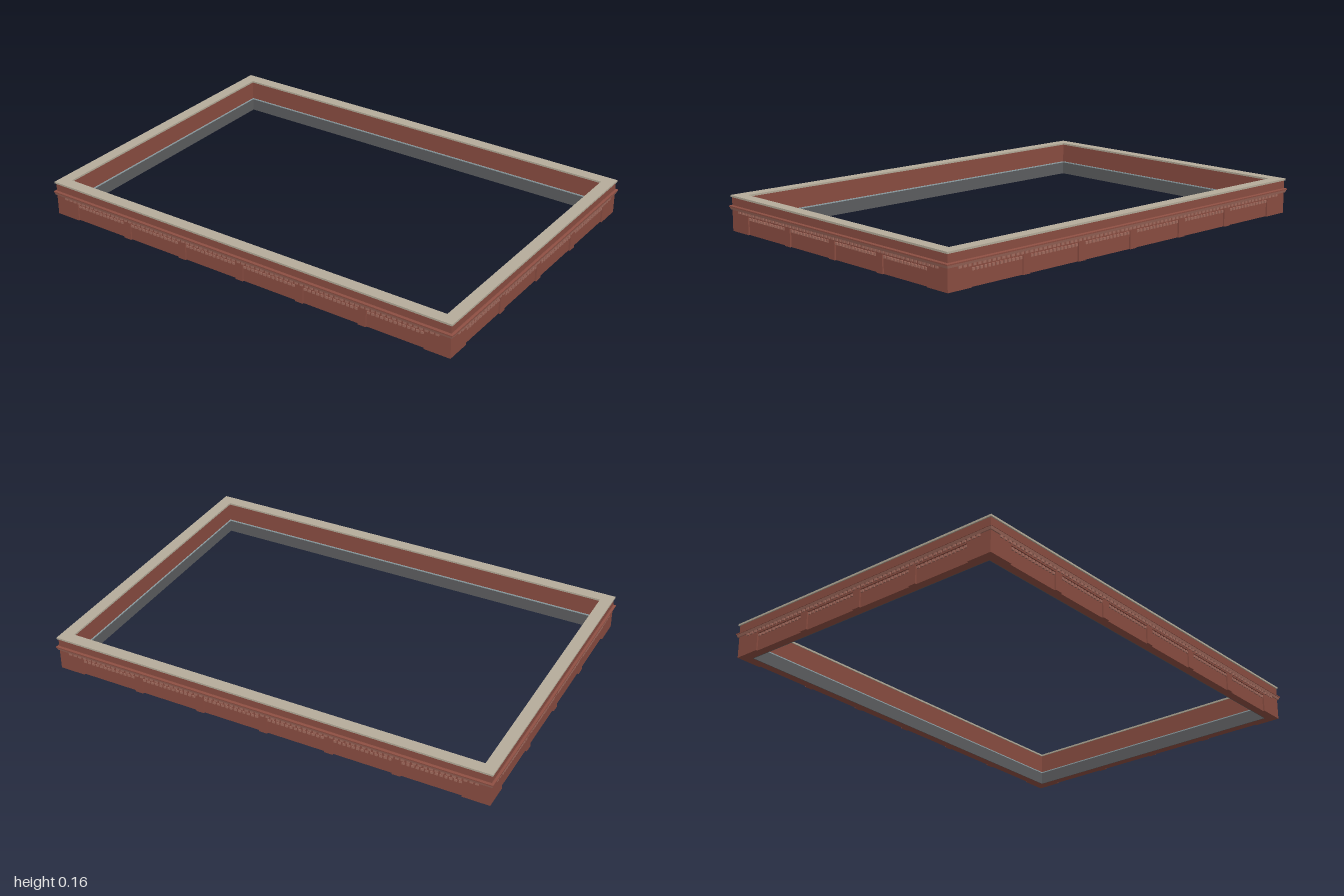
import * as THREE from 'three';
import { mergeGeometries } from 'three/addons/utils/BufferGeometryUtils.js';

const HX = 0.99, HZ = 0.69;   // outer wall half sizes
const RECESS = 0.007;         // depth of the wall panels
const PANEL_TOP = 0.077, PANEL_W = 0.26, PITCH = 0.297;

const paint = (name, color) => {
  const m = new THREE.MeshStandardMaterial({ color });
  m.name = name;
  return m;
};

// Mitred rectangular ring; profile is [offset from wall face, height], counter-clockwise
function ring(profile) {
  const corners = [[1, 1], [1, -1], [-1, -1], [-1, 1]];
  const at = (k, j) => {
    const [sx, sz] = corners[k % 4], [o, y] = profile[j % profile.length];
    return [sx * (HX + o), y, sz * (HZ + o)];
  };
  const pos = [];
  for (let k = 0; k < 4; k++) {
    for (let j = 0; j < profile.length; j++) {
      const a = at(k, j), b = at(k + 1, j), c = at(k + 1, j + 1), d = at(k, j + 1);
      pos.push(...a, ...b, ...c, ...a, ...c, ...d);
    }
  }
  const g = new THREE.BufferGeometry();
  g.setAttribute('position', new THREE.Float32BufferAttribute(pos, 3));
  g.computeVertexNormals();
  return g;
}

const band = (o0, o1, y0, y1) => ring([[o1, y0], [o1, y1], [o0, y1], [o0, y0]]);

// Box given by its limits
function block(x0, x1, y0, y1, z0, z1) {
  return new THREE.BoxGeometry(x1 - x0, y1 - y0, z1 - z0)
    .translate((x0 + x1) / 2, (y0 + y1) / 2, (z0 + z1) / 2);
}

// Evenly spaced teeth along x
function teeth(x0, x1, count, y0, y1, z0, z1) {
  const step = (x1 - x0) / count, out = [];
  for (let i = 0; i < count; i++) {
    const c = x0 + (i + 0.5) * step;
    out.push(block(c - step * 0.29, c + step * 0.29, y0, y1, z0, z1));
  }
  return out;
}

export function createModel() {
  const model = new THREE.Group();
  const brick = paint('brick', 0x8a4d41);
  const paleBrick = paint('pale brick', 0xa26b5e);
  const stone = paint('coping stone', 0xb5ac9a);
  const membrane = paint('roof membrane', 0x5d5e60);
  const metal = paint('flashing metal', 0x93a5aa);

  const add = (parent, name, geometry, material) => {
    const mesh = new THREE.Mesh(geometry, material);
    mesh.name = name;
    parent.add(mesh);
  };

  // Continuous wall, its upper face standing proud of the panels
  add(model, 'wall', ring([
    [-RECESS, 0], [-RECESS, PANEL_TOP], [0, PANEL_TOP],
    [0, 0.148], [-0.044, 0.148], [-0.044, 0],
  ]), brick);

  // Cornice: sloped moulding with a thin shelf on top
  add(model, 'corniceMoulding', ring([
    [-0.003, 0.093], [0.005, 0.093], [0.008, 0.104], [-0.003, 0.104],
  ]), paleBrick);
  add(model, 'corniceShelf', ring([
    [-0.003, 0.104], [0.01, 0.104], [0.01, 0.109], [0.004, 0.112], [-0.003, 0.112],
  ]), brick);

  // Coping and the inner roof edge
  add(model, 'coping', band(-0.048, 0.005, 0.147, 0.155), stone);
  add(model, 'roofUpstand', band(-0.0465, -0.0435, 0, 0.056), membrane);
  add(model, 'flashing', band(-0.0475, -0.0435, 0.056, 0.061), metal);

  // Pilasters and dentils on each face
  const faces = [
    ['front', HX, HZ, 6, 0], ['left', HZ, HX, 4, Math.PI / 2],
    ['back', HX, HZ, 6, Math.PI], ['right', HZ, HX, 4, -Math.PI / 2],
  ];
  for (const [name, half, dist, panels, angle] of faces) {
    const face = new THREE.Group();
    face.name = name + 'Face';
    face.rotation.y = angle;
    const piers = [], panelTeeth = [];
    let edge = -half;
    for (let i = 0; i < panels; i++) {
      const c = (i - (panels - 1) / 2) * PITCH;
      const x0 = c - PANEL_W / 2, x1 = c + PANEL_W / 2;
      piers.push(block(edge, x0, 0, PANEL_TOP, dist - 0.02, dist));
      panelTeeth.push(...teeth(x0, x1, 13, 0.063, 0.074, dist - 0.01, dist - 0.001));
      edge = x1;
    }
    piers.push(block(edge, half, 0, PANEL_TOP, dist - 0.02, dist));
    const reach = half - 0.045;
    const topTeeth = teeth(-reach, reach, Math.round(reach * 2 / 0.024),
      0.083, 0.0935, dist - 0.003, dist + 0.005);
    add(face, 'pilasters', mergeGeometries(piers), brick);
    add(face, 'panelDentils', mergeGeometries(panelTeeth), paleBrick);
    add(face, 'corniceDentils', mergeGeometries(topTeeth), paleBrick);
    model.add(face);
  }
  return model;
}
